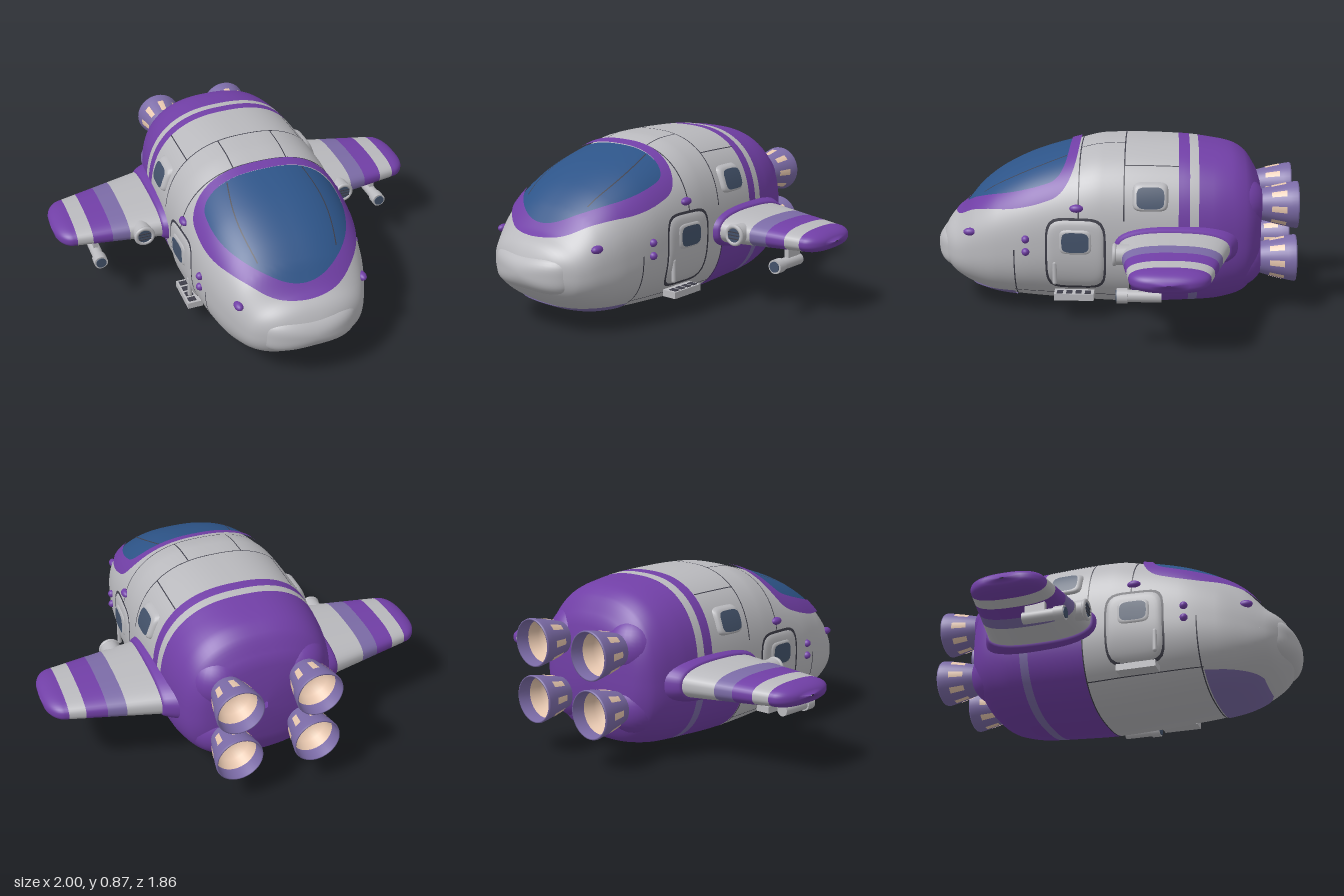
import * as THREE from 'three';
import { ParametricGeometry } from 'three/addons/geometries/ParametricGeometry.js';

const paint = (name, color, side = THREE.FrontSide) => {
  const m = new THREE.MeshStandardMaterial({ color, side });
  m.name = name;
  return m;
};
const GREY = paint('hull grey', 0xb9b9bd);
const PURPLE = paint('purple', 0x713fa6);
const LAVENDER = paint('lavender', 0x7b6ba6, THREE.DoubleSide);
const BLUE = paint('canopy blue', 0x2d5488);
const SLATE = paint('window slate', 0x43526a);
const PEACH = paint('peach', 0xe6c6ae, THREE.DoubleSide);
const DARK = paint('seam dark', 0x3f3f4a);

// Hull stations: z, top, bottom, half width
const HULL = [
  [-0.762, 0.44, 0.40, 0.01], [-0.75, 0.64, 0.22, 0.25], [-0.72, 0.71, 0.14, 0.33],
  [-0.67, 0.78, 0.07, 0.375], [-0.6, 0.82, 0.04, 0.40], [-0.5, 0.84, 0.02, 0.42],
  [-0.35, 0.858, 0.01, 0.43], [-0.1, 0.865, 0, 0.435], [0.05, 0.86, 0.005, 0.435],
  [0.2, 0.825, 0.015, 0.43], [0.4, 0.765, 0.03, 0.42], [0.58, 0.68, 0.05, 0.39],
  [0.7, 0.59, 0.085, 0.35], [0.8, 0.475, 0.14, 0.295], [0.86, 0.43, 0.19, 0.22],
  [0.9, 0.36, 0.24, 0.1], [0.91, 0.31, 0.29, 0.01],
];
const N = 2.5; // roundness of the hull section
const clamp = THREE.MathUtils.clamp, lerp = THREE.MathUtils.lerp;

// Monotone cubic through the hull stations
function station(zIn) {
  const last = HULL.length - 1;
  const z = clamp(zIn, HULL[0][0], HULL[last][0]);
  let i = 0;
  while (i < last - 1 && z > HULL[i + 1][0]) i++;
  const slope = (j, k) => (HULL[j + 1][k] - HULL[j][k]) / (HULL[j + 1][0] - HULL[j][0]);
  const tangent = (j, k) => {
    if (j === 0) return slope(0, k);
    if (j === last) return slope(last - 1, k);
    const a = slope(j - 1, k), b = slope(j, k);
    return a * b > 0 ? (2 * a * b) / (a + b) : 0;
  };
  const d = HULL[i + 1][0] - HULL[i][0], t = (z - HULL[i][0]) / d;
  const [top, bot, w] = [1, 2, 3].map((k) =>
    HULL[i][k] * (1 + 2 * t) * (1 - t) ** 2 + tangent(i, k) * d * t * (1 - t) ** 2 +
    HULL[i + 1][k] * t * t * (3 - 2 * t) + tangent(i + 1, k) * d * t * t * (t - 1));
  const mid = lerp(bot, top, 0.47);
  return { mid, up: top - mid, down: mid - bot, w };
}
const arc = (f) => (1 - clamp(Math.abs(f), 0, 1) ** N) ** (1 / N);
const roofY = (x, z, off) => { const s = station(z); return s.mid + (s.up + off) * arc(x / (s.w + off)); };
const bellyY = (x, z, off) => { const s = station(z); return s.mid - (s.down + off) * arc(x / (s.w + off)); };
const sideX = (y, z, off) => {
  const s = station(z), h = y > s.mid ? s.up : s.down;
  return (s.w + off) * arc((y - s.mid) / (h + off));
};
// Point on a rounded outline at angle a
const rounded = (a, m) => {
  const c = Math.cos(a), s = Math.sin(a), r = (Math.abs(c) ** m + Math.abs(s) ** m) ** (-1 / m);
  return [c * r, s * r];
};

function add(parent, name, geometry, material, x = 0, y = 0, z = 0) {
  const mesh = new THREE.Mesh(geometry, material);
  mesh.name = name;
  mesh.position.set(x, y, z);
  parent.add(mesh);
  return mesh;
}
const surface = (fn, nu, nv) => new ParametricGeometry(fn, nu, nv);

// Strip of hull between two angles and two z values
function hullPatch(t0, t1, z0, z1, off = 0) {
  const nu = Math.max(2, Math.ceil((t1 - t0) * 16)), nv = Math.max(1, Math.ceil((z1 - z0) / 0.012));
  return surface((u, v, p) => {
    const z = lerp(z0, z1, v), s = station(z), [c, q] = rounded(lerp(t0, t1, u), N);
    p.set((s.w + off) * c, s.mid + q * ((q > 0 ? s.up : s.down) + off), z);
  }, nu, nv);
}
// Rounded panel lying on the +x side; inner > 0 leaves a hole, puff tucks in the rim
function sidePanel(zc, yc, hz, hy, off, { inner = 0.001, puff = false, m = 5 } = {}) {
  return surface((u, v, p) => {
    const k = lerp(inner, 1, v), [a, b] = rounded(u * Math.PI * 2, m);
    const z = zc + hz * a * k, y = yc + hy * b * k;
    p.set(sideX(y, z, puff ? off * (1 - v ** 12) : off), y, z);
  }, 48, 12);
}
// Canopy outline in x and z: square behind, round in front
function canopyPoint(a, half, front, back) {
  const [c, s] = rounded(a, Math.sin(a) > 0 ? 2 : 4);
  return [half * c, 0.36 + s * (s > 0 ? front : back)];
}
// Wing section: x along the span, u around it, grow inflates it
function wingPiece(x0, x1, grow = () => 0, nv = 8) {
  return surface((u, v, p) => {
    const x = lerp(x0, x1, v), f = (x - 0.43) / 0.5, g = grow(v);
    const lead = lerp(-0.03, -0.1, f), trail = lerp(-0.59, -0.47, f);
    const k = x > 0.92 ? Math.max(0.001, 1 - ((x - 0.92) / 0.08) ** 2) ** 0.4 : 1;
    const [c, s] = rounded(u * Math.PI * 2, 2.6);
    p.set(x, 0.39 - s * (lerp(0.088, 0.055, f) + g) * k,
      (lead + trail) / 2 + c * ((lead - trail) / 2 + g) * (0.15 + 0.85 * k) * Math.min(1, k * 5));
  }, 48, nv);
}
const rod = (r, len, r2 = r) => new THREE.CylinderGeometry(r, r2, len, 24).rotateX(Math.PI / 2);

// Copy a group to the other side, turning the faces round
function mirror(group) {
  const out = new THREE.Group();
  out.name = group.name.replace('left', 'right');
  group.updateMatrixWorld(true);
  group.traverse((o) => {
    if (!o.isMesh) return;
    const g = o.geometry.clone().applyMatrix4(o.matrixWorld).scale(-1, 1, 1), a = g.index.array;
    for (let i = 0; i < a.length; i += 3) [a[i], a[i + 1]] = [a[i + 1], a[i]];
    add(out, o.name, g, o.material);
  });
  return out;
}

function buildHull(root) {
  const P = Math.PI;
  [['upperHull', GREY, 0, P, -0.33, 0.91], ['upperStripe', PURPLE, 0, P, -0.385, -0.33],
    ['upperBand', GREY, 0, P, -0.43, -0.385], ['lowerHull', GREY, P, 2 * P, -0.09, 0.91],
    ['lowerRear', PURPLE, P, 2 * P, -0.385, -0.09], ['lowerBand', LAVENDER, P, 2 * P, -0.43, -0.385],
    ['tail', PURPLE, 0, 2 * P, -0.762, -0.43],
  ].forEach(([name, mat, t0, t1, z0, z1]) => add(root, name, hullPatch(t0, t1, z0, z1), mat));

  // Panel seams
  [[0.25, P - 0.25, -0.06], [0.3, P - 0.3, 0.165], [P, 2 * P, 0.49], [P, 2 * P, -0.09]].forEach(([a, b, z]) =>
    add(root, 'ringSeam', hullPatch(a, b, z - 0.003, z + 0.003, 0.003), DARK));
  [[1.25, -0.06, 0.165], [P - 1.25, -0.06, 0.165], [0.85, -0.33, -0.06], [P - 0.85, -0.33, -0.06],
    [-0.75, -0.09, 0.5], [P + 0.75, -0.09, 0.5]].forEach(([t, z0, z1]) =>
    add(root, 'longSeam', hullPatch(t - 0.006, t + 0.006, z0, z1, 0.003), DARK));

  // Nose pad
  const pad = new THREE.SphereGeometry(1, 48, 32), pos = pad.attributes.position, q = new THREE.Vector3();
  for (let i = 0; i < pos.count; i++) {
    q.fromBufferAttribute(pos, i);
    const r = (Math.abs(q.x) ** 3.5 + Math.abs(q.y) ** 3.5) ** (1 / 3.5) || 1;
    const k = Math.hypot(q.x, q.y) / r;
    pos.setXYZ(i, q.x * k * 0.25, q.y * k * 0.108, q.z * 0.125);
  }
  pad.computeVertexNormals();
  add(root, 'nosePad', pad, GREY, 0, 0.297, 0.805);

  // Chin panel
  add(root, 'chinPanel', surface((u, v, p) => {
    const z = lerp(0.5, 0.755, v), x = lerp(-1, 1, u) * sideX(0.112, z, 0.006);
    p.set(x, bellyY(x, z, 0.006), z);
  }, 32, 20), LAVENDER);

  // Canopy glass, rim and frame lines
  const drape = (inner, outer, off) => surface((u, v, p) => {
    const a = u * P * 2, [x0, z0] = inner(a), [x1, z1] = outer(a);
    const x = lerp(x0, x1, v), z = lerp(z0, z1, v);
    p.set(x, roofY(x, z, off), z);
  }, 96, 20);
  const glass = (a) => canopyPoint(a, 0.352, 0.42, 0.14);
  const rim = (a) => canopyPoint(a, 0.397, 0.475, 0.185);
  add(root, 'canopyGlass', drape((a) => canopyPoint(a, 0.0004, 0.0004, 0.0004), glass, 0.006), BLUE);
  add(root, 'canopyRim', drape((a) => canopyPoint(a, 0.345, 0.413, 0.134), rim, 0.013), PURPLE);
  for (const s of [-1, 1]) {
    add(root, 'canopyFrameLine', surface((u, v, p) => {
      const z = lerp(0.235, 0.66, v), x = s * (0.2 + 0.03 * Math.sin(v * 3)) + (u - 0.5) * 0.006;
      p.set(x, roofY(x, z, 0.009), z);
    }, 1, 24).scale(1, 1, 1), DARK).geometry.index.array.reverse();
  }
}

function buildSide() {
  const g = new THREE.Group();
  g.name = 'leftSide';
  // Wing in painted bands
  [['wingRoot', GREY, 0.36, 0.63], ['wingInnerStripe', LAVENDER, 0.63, 0.72], ['wingOuterStripe', PURPLE, 0.72, 0.82],
    ['wingBand', GREY, 0.82, 0.9], ['wingTip', PURPLE, 0.9, 1],
  ].forEach(([name, mat, a, b]) => add(g, name, wingPiece(a, b, undefined, 16), mat));
  add(g, 'wingFairing', wingPiece(0.38, 0.465, (v) => 0.03 * Math.sqrt(1 - v * 0.999)), PURPLE);

  // Intake in the leading edge
  add(g, 'intakeTube', rod(0.05, 0.3), GREY, 0.565, 0.395, -0.17);
  add(g, 'intakeRing', new THREE.TorusGeometry(0.045, 0.011, 10, 32), GREY, 0.565, 0.395, -0.02);
  add(g, 'intakeMouth', rod(0.037, 0.008), SLATE, 0.565, 0.395, -0.018);
  for (let i = -1; i <= 1; i++)
    add(g, 'intakeBar', new THREE.BoxGeometry(0.064, 0.005, 0.006), DARK, 0.565, 0.395 + i * 0.017, -0.013);

  // Under-wing pod
  add(g, 'podBarrel', rod(0.029, 0.2), GREY, 0.8, 0.27, -0.15);
  add(g, 'podCollar', rod(0.036, 0.05), GREY, 0.8, 0.27, -0.065);
  add(g, 'podMouth', rod(0.027, 0.006), SLATE, 0.8, 0.27, -0.038);
  add(g, 'podStrut', new THREE.BoxGeometry(0.024, 0.1, 0.1), GREY, 0.8, 0.315, -0.19);

  // Door with window, handle and step
  add(g, 'doorSeam', sidePanel(0.18, 0.345, 0.152, 0.19, 0.004, { inner: 0.93 }), DARK);
  add(g, 'door', sidePanel(0.18, 0.345, 0.147, 0.185, 0.012, { puff: true }), GREY);
  [['doorWindow', 0.18, 0.415], ['cabinWindow', -0.19, 0.64]].forEach(([name, z, y]) => {
    add(g, name + 'Frame', sidePanel(z, y, 0.088, 0.068, 0.018, { puff: true }), GREY);
    add(g, name, sidePanel(z, y, 0.068, 0.051, 0.023, { m: 4 }), SLATE);
  });
  add(g, 'doorHandle', new THREE.CapsuleGeometry(0.012, 0.1, 6, 12), GREY, sideX(0.25, 0.285, 0.014), 0.25, 0.285);
  add(g, 'step', new THREE.BoxGeometry(0.08, 0.034, 0.2), GREY, 0.4, 0.125, 0.19);
  for (let i = 0; i < 4; i++)
    add(g, 'stepSlot', new THREE.BoxGeometry(0.04, 0.006, 0.03), DARK, 0.41, 0.143, 0.12 + i * 0.047);

  // Small purple lamps
  [[0.43, 0.42, 0.02], [0.43, 0.355, 0.02], [0.72, 0.428, 0.035], [0.175, 0.58, 0.035]].forEach(([z, y, len]) => {
    const lamp = add(g, 'lamp', new THREE.SphereGeometry(1, 16, 12), PURPLE, sideX(y, z, 0), y, z);
    lamp.scale.set(0.022, 0.02, len);
  });
  return g;
}

function buildNozzle(x, y) {
  const g = new THREE.Group();
  g.name = 'nozzle';
  const bell = (pts, ...arcArgs) =>
    new THREE.LatheGeometry(pts.map(([r, h]) => new THREE.Vector2(r, h)), ...arcArgs).rotateX(-Math.PI / 2);
  add(g, 'nozzleBell', bell([[0.07, -0.03], [0.082, 0.01], [0.098, 0.07], [0.114, 0.14], [0.12, 0.175],
    [0.118, 0.183], [0.112, 0.183], [0.106, 0.12]], 40), LAVENDER);
  add(g, 'nozzleLining', bell([[0.106, 0.12], [0.09, 0.07], [0.07, 0.02], [0, 0.02]], 40), PEACH);
  for (let i = 0; i < 8; i++)
    add(g, 'nozzleSlot', bell([[0.095, 0.048], [0.1005, 0.07], [0.1125, 0.122]], 4, (i * Math.PI) / 4 - 0.15, 0.3), PEACH);
  add(g, 'engineLobe', new THREE.SphereGeometry(0.155, 32, 24), PURPLE, 0, 0, 0.132);
  g.position.set(x, y, -0.75);
  return g;
}

export function createModel() {
  const root = new THREE.Group();
  root.name = 'shuttle';
  buildHull(root);
  const left = buildSide();
  root.add(left, mirror(left));
  for (const x of [-0.2, 0.2]) for (const y of [0.555, 0.272]) root.add(buildNozzle(x, y));
  return root;
}
